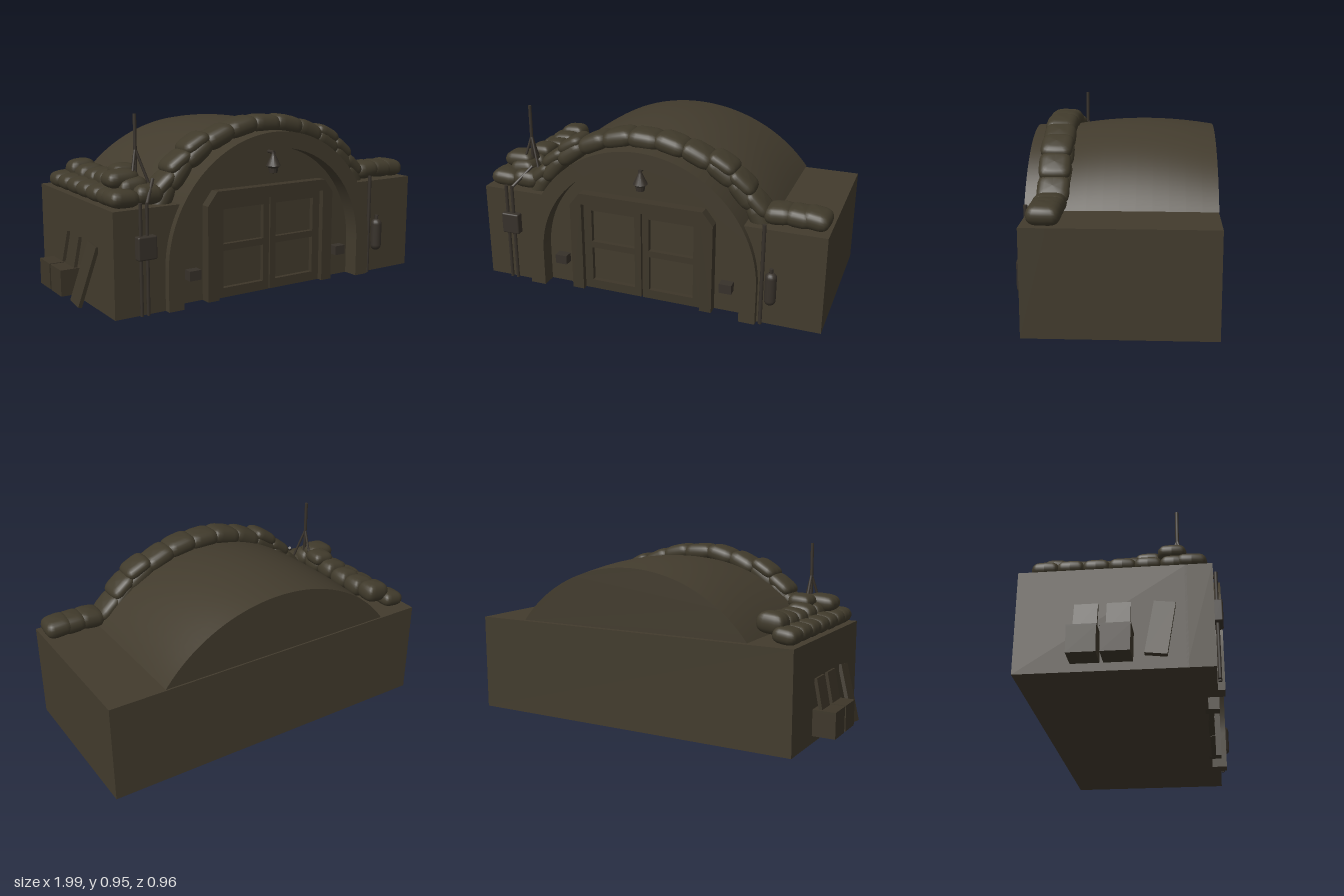
import * as THREE from 'three';
import { toCreasedNormals } from 'three/addons/utils/BufferGeometryUtils.js';
import { RoundedBoxGeometry } from 'three/addons/geometries/RoundedBoxGeometry.js';

const CX = 0.025; // centre line of the arch
const mat = (name, color) => Object.assign(new THREE.MeshStandardMaterial({ color }), { name });

export function createModel() {
  const root = new THREE.Group();
  root.name = 'bunker';
  const earth = mat('olive earth', 0x423b2d);
  const cloth = mat('sandbag cloth', 0x403a2b);
  const wood = mat('dark timber', 0x3d3629);
  const metal = mat('dull metal', 0x37312a);

  const add = (name, geo, material, x = 0, y = 0, z = 0, parent = root) => {
    const m = new THREE.Mesh(geo, material);
    m.name = name;
    m.position.set(x, y, z);
    parent.add(m);
    return m;
  };
  // box from its limits
  const block = (name, x0, x1, y0, y1, z0, z1, material) =>
    add(name, new THREE.BoxGeometry(x1 - x0, y1 - y0, z1 - z0), material, (x0 + x1) / 2, (y0 + y1) / 2, (z0 + z1) / 2);
  const extrude = (shape, depth, opts = {}) =>
    new THREE.ExtrudeGeometry(shape, { depth, bevelEnabled: false, curveSegments: 28, ...opts });
  const rod = (name, a, b, r, material) => {
    const p = new THREE.Vector3(...a), q = new THREE.Vector3(...b), d = q.clone().sub(p);
    const m = add(name, new THREE.CylinderGeometry(r, r, d.length(), 8), material);
    m.position.copy(p).add(q).multiplyScalar(0.5);
    m.quaternion.setFromUnitVectors(new THREE.Vector3(0, 1, 0), d.normalize());
    return m;
  };
  // round arch standing on straight legs
  const arch = (r, cy, T = THREE.Shape) => {
    const s = new T();
    s.moveTo(CX + r, 0);
    s.lineTo(CX + r, cy);
    s.absarc(CX, cy, r, 0, Math.PI, false);
    s.lineTo(CX - r, 0);
    s.closePath();
    return s;
  };

  // main body behind the entrance
  block('body', -0.88, 0.99, 0, 0.52, -0.48, 0.31, earth);

  // front wall with the arched opening
  const wall = new THREE.Shape();
  wall.moveTo(0.99, 0);
  wall.lineTo(0.99, 0.52);
  wall.lineTo(CX + 0.53, 0.52);
  wall.absarc(CX, 0.205, 0.616, 0.536, Math.PI - 0.536, false);
  wall.lineTo(-0.88, 0.52);
  wall.lineTo(-0.88, 0);
  wall.lineTo(CX - 0.56, 0);
  wall.lineTo(CX - 0.56, 0.205);
  wall.absarc(CX, 0.205, 0.56, Math.PI, 0, true);
  wall.lineTo(CX + 0.56, 0);
  add('frontWall', toCreasedNormals(extrude(wall, 0.13), 0.6), earth, 0, 0, 0.3);

  // vaulted roof, slightly swollen along its length
  const roofShape = new THREE.Shape();
  const R = 0.817, half = Math.asin(0.67 / R);
  roofShape.absarc(CX, 0.06, R, Math.PI / 2 - half, Math.PI / 2 + half, false);
  roofShape.closePath();
  let roofGeo = extrude(roofShape, 0.79, { steps: 10 });
  const p = roofGeo.attributes.position;
  for (let i = 0; i < p.count; i++) {
    const z = p.getZ(i) - 0.48;
    p.setXYZ(i, p.getX(i), 0.515 + (p.getY(i) - 0.515) * (1 - 0.65 * (z + 0.12) ** 2), z);
  }
  roofGeo.deleteAttribute('normal');
  add('roof', toCreasedNormals(roofGeo, 0.6), earth);

  // arch surround
  const ring = arch(0.635, 0.205);
  const inner = new THREE.Shape();
  inner.moveTo(CX + 0.635, 0);
  inner.lineTo(CX + 0.635, 0.205);
  inner.absarc(CX, 0.205, 0.635, 0, Math.PI, false);
  inner.lineTo(CX - 0.635, 0);
  inner.lineTo(CX - 0.55, 0);
  inner.lineTo(CX - 0.55, 0.205);
  inner.absarc(CX, 0.205, 0.55, Math.PI, 0, true);
  inner.lineTo(CX + 0.55, 0);
  add('archSurround', toCreasedNormals(extrude(inner, 0.165), 0.6), earth, 0, 0, 0.3);
  add('recessWall', toCreasedNormals(extrude(arch(0.57, 0.205), 0.1), 0.6), earth, 0, 0, 0.28);

  // door casing with clipped corners
  const casing = new THREE.Shape([[-0.395, 0], [-0.33, 0], [-0.33, 0.5], [0.33, 0.5], [0.33, 0], [0.395, 0],
    [0.395, 0.49], [0.34, 0.56], [-0.34, 0.56], [-0.395, 0.49]].map(([x, y]) => new THREE.Vector2(CX + x, y)));
  add('doorCasing', extrude(casing, 0.07), wood, 0, 0, 0.365);

  // double doors, each with two sunk panels
  for (const s of [-1, 1]) {
    const door = new THREE.Shape();
    door.moveTo(0.004, 0);
    door.lineTo(0.33, 0);
    door.lineTo(0.33, 0.5);
    door.lineTo(0.004, 0.5);
    for (const [y0, y1] of [[0.05, 0.245], [0.28, 0.46]]) {
      const h = new THREE.Path();
      h.moveTo(0.04, y0);
      h.lineTo(0.04, y1);
      h.lineTo(0.285, y1);
      h.lineTo(0.285, y0);
      h.closePath();
      door.holes.push(h);
    }
    const d = add('door', extrude(door, 0.03), wood, CX, 0, 0.375);
    if (s < 0) d.position.set(CX, 0, 0.405), d.rotation.y = Math.PI;
    // small wall boxes beside the doors
    const bx = CX + s * 0.465;
    block('wallBox', bx - 0.033, bx + 0.033, 0.125, 0.175, 0.37, 0.43, metal);
  }

  // hanging lamp
  const lamp = [[0, 0.62], [0.022, 0.625], [0.025, 0.65], [0.038, 0.66], [0.01, 0.72], [0.01, 0.735], [0, 0.735]]
    .map(([x, y]) => new THREE.Vector2(x, y));
  add('lamp', toCreasedNormals(new THREE.LatheGeometry(lamp, 12), 0.5), metal, 0.03, 0, 0.425);
  rod('lampArm', [0.03, 0.73, 0.37], [0.03, 0.73, 0.43], 0.009, metal);

  // sandbags: pillow shape with pinched edges
  const bagGeo = new THREE.SphereGeometry(0.5, 18, 12);
  const b = bagGeo.attributes.position;
  const sq = (v) => 0.5 * Math.sign(v) * Math.abs(2 * v) ** 0.5;
  for (let i = 0; i < b.count; i++) {
    const x = sq(b.getX(i)), z = sq(b.getZ(i));
    b.setXYZ(i, x, b.getY(i) * (1 - 0.15 * Math.abs(x)), z);
  }
  bagGeo.computeVertexNormals();
  let seed = 7;
  const jig = (a) => ((seed = (seed * 16807) % 2147483647) / 2147483647 - 0.5) * 2 * a;
  const bag = (x, y, z, w, h, d, roll = 0, yaw = 0) => {
    const m = add('sandbag', bagGeo, cloth, x, y, z);
    m.scale.set(w, h, d);
    m.rotation.set(0, yaw + jig(0.06), roll + jig(0.05));
  };
  // row over the arch, doubled on its shoulders
  for (let i = 0; i < 11; i++) {
    const a = 0.5 + (i * (Math.PI - 1)) / 10, r = 0.665 + 0.025 * Math.abs(Math.cos(a));
    bag(CX + r * Math.cos(a), 0.205 + r * Math.sin(a), 0.315 + jig(0.008), 0.185, 0.1, 0.165, a - Math.PI / 2);
  }
  for (const s of [-1, 1])
    for (const a of [0.6, 0.78, 0.96])
      bag(CX + s * 0.72 * Math.cos(a), 0.205 + 0.72 * Math.sin(a), 0.315, 0.16, 0.075, 0.16, s * (a - Math.PI / 2) * 0.8);
  // bags on the left wing
  for (const x of [0.73, 0.83, 0.91]) bag(x, 0.57, 0.32, 0.15, 0.1, 0.16, x > 0.8 ? -0.1 : 0.1);
  // bags along the right wing, two courses
  for (let i = 0; i < 6; i++) {
    const z = -0.36 + i * 0.122;
    bag(-0.8, 0.56, z, 0.13, 0.085, 0.135, 0.1);
    bag(-0.71, 0.6 + jig(0.012), z + 0.03, 0.15, 0.11, 0.125, 0.12);
  }
  bag(-0.79, 0.56, 0.33, 0.16, 0.09, 0.15);
  bag(-0.66, 0.57, 0.33, 0.15, 0.1, 0.15);
  bag(-0.75, 0.64, 0.24, 0.17, 0.09, 0.14, 0.1);
  bag(-0.68, 0.655, 0.12, 0.13, 0.08, 0.13);

  // aerial on a small tripod
  rod('aerial', [-0.675, 0.6, 0.26], [-0.675, 0.95, 0.26], 0.009, metal);
  for (const [x, z] of [[-0.62, 0.3], [-0.72, 0.3], [-0.67, 0.19]])
    rod('aerialLeg', [-0.675, 0.78, 0.26], [x, 0.6, z], 0.007, metal);

  // cables and junction box
  for (const x of [-0.745, -0.71]) rod('cable', [x, 0, 0.442], [x, 0.55, 0.442], 0.009, metal);
  rod('cableOverWall', [-0.71, 0.54, 0.442], [-0.63, 0.64, 0.35], 0.009, metal);
  add('junctionBox', new RoundedBoxGeometry(0.1, 0.115, 0.045, 2, 0.008), metal, -0.72, 0.335, 0.447);
  rod('drainPipe', [0.682, 0, 0.442], [0.682, 0.55, 0.442], 0.01, metal);

  // fire bottle on the left wing
  add('fireBottle', new THREE.CapsuleGeometry(0.03, 0.12, 6, 14), metal, 0.73, 0.215, 0.455);
  rod('bottleNeck', [0.73, 0.29, 0.455], [0.73, 0.325, 0.455], 0.01, metal);

  // crates and leaning boards on the right side
  for (const z of [-0.15, 0]) {
    block('crate', -1, -0.875, 0.04, 0.165, z - 0.068, z + 0.065, wood);
    block('crateLid', -1, -0.875, 0.165, 0.175, z - 0.07, z + 0.068, wood);
    const back = add('backBoard', new THREE.BoxGeometry(0.018, 0.17, 0.11), wood, -0.902, 0.245, z);
    back.rotation.z = -0.2;
  }
  const board = add('leaningBoard', new THREE.BoxGeometry(0.02, 0.31, 0.1), wood, -0.925, 0.175, 0.19);
  board.rotation.set(0.12, 0, -0.28);
  return root;
}
